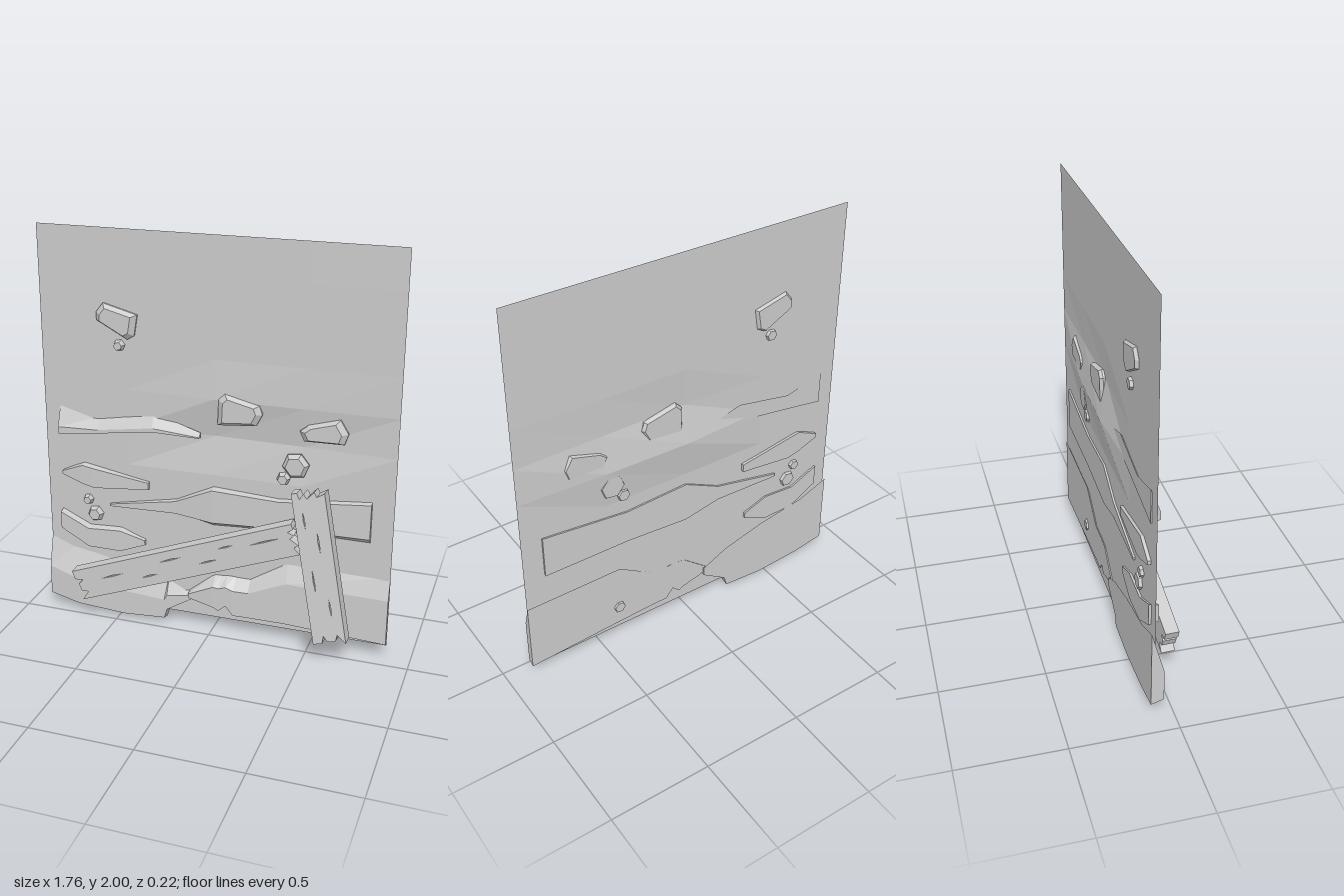
import * as THREE from 'three';

const material = new THREE.MeshStandardMaterial({ color: 0xcccccc, flatShading: true });
const sheetMaterial = new THREE.MeshStandardMaterial({ color: 0xcccccc, flatShading: true, side: THREE.DoubleSide });

// Skin a list of matching rings and close both ends
function skin(rings) {
  const n = rings[0].length, last = (rings.length - 1) * n, index = [];
  for (let i = 0; i < rings.length - 1; i++) {
    for (let j = 0; j < n; j++) {
      const a = i * n + j, b = i * n + (j + 1) % n;
      index.push(a, a + n, b + n, a, b + n, b);
    }
  }
  for (let j = 1; j < n - 1; j++) {
    index.push(0, j, j + 1, last, last + j + 1, last + j);
  }
  const geometry = new THREE.BufferGeometry();
  geometry.setAttribute('position', new THREE.Float32BufferAttribute(rings.flat(2), 3));
  geometry.setIndex(index);
  const flat = geometry.toNonIndexed();
  flat.computeVertexNormals();
  return flat;
}

function addMesh(parent, name, geometry, mat = material) {
  const mesh = new THREE.Mesh(geometry, mat);
  mesh.name = name;
  parent.add(mesh);
  return mesh;
}

// Long slab along x; stations are [x, bottom, top, front z]
function slab(stations, back, topBevel, bottomBevel) {
  return skin(stations.map(([x, lo, hi, front]) => {
    const h = hi - lo;
    return [[x, lo, back], [x, lo + h * bottomBevel, front], [x, hi - h * topBevel, front], [x, hi, back]];
  }));
}

// Chamfered stone from a clockwise outline
function stone(outline, back, front, shrink) {
  const cx = outline.reduce((s, p) => s + p[0], 0) / outline.length;
  const cy = outline.reduce((s, p) => s + p[1], 0) / outline.length;
  const ring = (k, z) => outline.map(([x, y]) => [cx + (x - cx) * k, cy + (y - cy) * k, z]);
  return skin([ring(0.9, back), ring(1, back + 0.015), ring(1, front - 0.022), ring(shrink, front)]);
}

// Plank along x with splintered ends and shallow slits in the front layer
function plank(name, length, width, depth, slits) {
  const group = new THREE.Group();
  group.name = name;
  const l = length / 2, w = width / 2;
  const outline = () => new THREE.Shape([
    [-l, -w], [l - 0.01, -w], [l - 0.025, -w * 0.5], [l, -w * 0.4], [l - 0.03, w * 0.1],
    [l - 0.005, w * 0.25], [l - 0.03, w * 0.55], [l, w * 0.65], [l, w], [-l, w],
    [-l, w * 0.45], [-l + 0.04, w * 0.3], [-l + 0.01, w * 0.1], [-l + 0.012, -w * 0.4], [-l + 0.045, -w * 0.55],
  ].map(([x, y]) => new THREE.Vector2(x, y)));
  const skinDepth = 0.008;
  const body = new THREE.ExtrudeGeometry(outline(), { depth: depth - skinDepth, bevelEnabled: false });
  body.translate(0, 0, -depth / 2);
  addMesh(group, 'plankBody', body);
  const face = outline();
  for (const [x, y, len] of slits) {
    face.holes.push(new THREE.Path([
      [x, y], [x + len * 0.5, y + 0.005], [x + len, y + 0.002], [x + len * 0.5, y - 0.002],
    ].map(([a, b]) => new THREE.Vector2(a, b))));
  }
  const front = new THREE.ExtrudeGeometry(face, { depth: skinDepth, bevelEnabled: false });
  front.translate(0, 0, depth / 2 - skinDepth);
  addMesh(group, 'plankFace', front);
  return group;
}

export function createModel() {
  const model = new THREE.Group();
  model.name = 'brokenWall';

  // Thin wall sheet with a slight dent around its middle
  const wall = new THREE.PlaneGeometry(1.76, 1.94, 4, 10);
  wall.translate(0, 1.03, -0.084);
  const p = wall.attributes.position;
  const dents = [[0, 1.03, -0.112], [0.44, 1.03, -0.104], [0, 1.224, -0.074], [0.44, 1.224, -0.078]];
  for (const [x, y, z] of dents) {
    for (let i = 0; i < p.count; i++) {
      if (Math.hypot(p.getX(i) - x, p.getY(i) - y) < 0.05) p.setZ(i, z);
    }
  }
  wall.computeVertexNormals();
  addMesh(model, 'wallSheet', wall, sheetMaterial);

  // Long plaster slabs
  addMesh(model, 'upperSlab', slab([
    [-0.8, 0.955, 1.12, -0.045], [-0.595, 0.985, 1.065, -0.05],
    [-0.305, 1.025, 1.117, -0.05], [-0.07, 1.02, 1.045, -0.065],
  ], -0.09, 0.7, 0.08));
  addMesh(model, 'leftSlab', slab([
    [-0.795, 0.745, 0.765, -0.06], [-0.68, 0.7, 0.818, -0.05],
    [-0.62, 0.685, 0.808, -0.05], [-0.335, 0.715, 0.757, -0.065],
  ], -0.1, 0.06, 0.1));
  addMesh(model, 'lowerLeftSlab', slab([
    [-0.81, 0.44, 0.55, -0.05], [-0.66, 0.355, 0.48, -0.05],
    [-0.49, 0.35, 0.49, -0.055], [-0.36, 0.41, 0.44, -0.065],
  ], -0.096, 0.1, 0.1));
  addMesh(model, 'middleSlab', slab([
    [-0.545, 0.598, 0.612, -0.07], [-0.19, 0.605, 0.685, -0.055], [0, 0.565, 0.778, -0.045],
    [0.33, 0.585, 0.76, -0.055], [0.775, 0.585, 0.805, -0.06],
  ], -0.094, 0.04, 0.16));
  addMesh(model, 'baseRightSlab', slab([
    [-0.125, 0.165, 0.195, -0.045], [0.01, 0.13, 0.305, -0.035], [0.04, 0.115, 0.307, -0.035],
    [0.075, 0.15, 0.31, -0.035], [0.115, 0.1, 0.31, -0.035], [0.19, 0.1, 0.31, -0.038],
    [0.38, 0.09, 0.43, -0.045], [0.88, 0.06, 0.425, -0.055],
  ], -0.09, 0.3, 0.05));
  addMesh(model, 'baseLeftSlab', slab([
    [-0.88, 0.05, 0.44, -0.04], [-0.72, 0.02, 0.375, -0.03], [-0.47, 0, 0.33, -0.04],
    [-0.255, 0.012, 0.27, -0.05], [-0.24, 0.065, 0.265, -0.05], [-0.11, 0.15, 0.2, -0.06],
  ], -0.1, 0.55, 0.05));

  // Exposed stones
  const stones = [
    [[-0.585, 1.6], [-0.55, 1.645], [-0.378, 1.6], [-0.395, 1.497], [-0.43, 1.477], [-0.585, 1.56]],
    [[0.025, 1.228], [0.055, 1.258], [0.225, 1.217], [0.24, 1.175], [0.21, 1.117], [0.02, 1.1]],
    [[0.42, 1.117], [0.458, 1.148], [0.61, 1.192], [0.65, 1.127], [0.632, 1.074], [0.442, 1.07]],
  ];
  for (const outline of stones) addMesh(model, 'stone', stone(outline, -0.1, -0.052, 0.75));

  // Six-sided pebbles: x, y, radius
  const pebbles = [
    [0.405, 0.94, 0.066], [0.347, 0.868, 0.033], [-0.474, 1.444, 0.029],
    [-0.664, 0.62, 0.027], [-0.627, 0.545, 0.042], [0.39, 0.19, 0.032],
  ];
  for (const [x, y, r] of pebbles) {
    const outline = Array.from({ length: 6 }, (_, i) => {
      const a = 0.15 - i * Math.PI / 3;
      return [x + r * Math.cos(a), y + r * Math.sin(a)];
    });
    addMesh(model, 'pebble', stone(outline, -0.1, -0.056, 0.72));
  }

  // Two loose planks leaning on the wall
  const slits = [[-0.12, 0.03, 0.12], [0.08, -0.02, 0.1], [0.2, 0.035, 0.08], [-0.24, -0.03, 0.09]];
  const diagonal = plank('diagonalPlank', 1.19, 0.16, 0.066, [...slits, [0.36, 0.02, 0.16], [-0.45, 0.01, 0.12]]);
  diagonal.position.set(-0.115, 0.41, 0.023);
  diagonal.rotation.set(0, 0.045, THREE.MathUtils.degToRad(20.1), 'YZX');
  model.add(diagonal);

  const upright = plank('uprightPlank', 0.75, 0.16, 0.076, slits);
  upright.position.set(0.567, 0.495, 0.037);
  upright.rotation.set(-0.093, 0, THREE.MathUtils.degToRad(101.3), 'XYZ');
  model.add(upright);

  return model;
}
